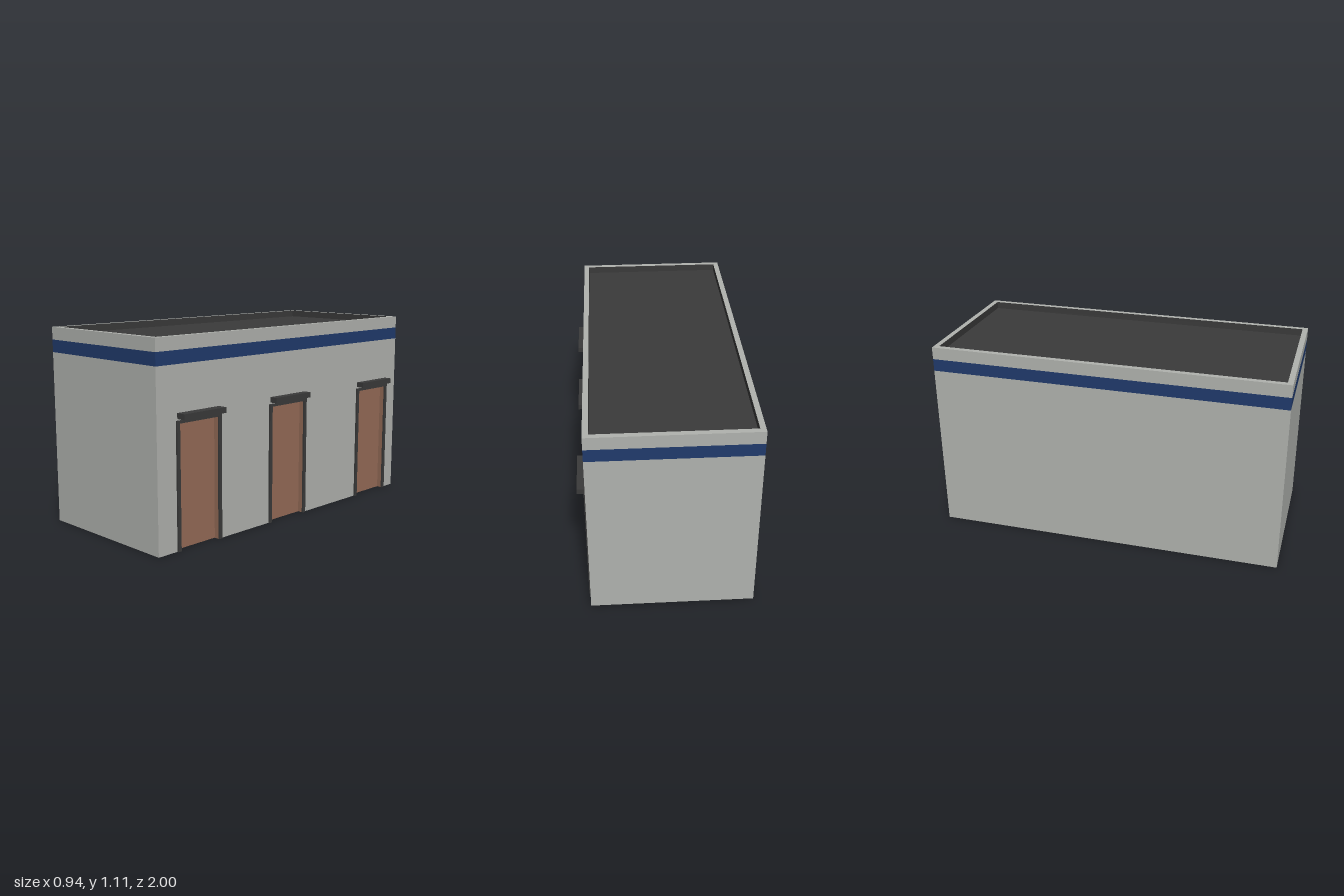
import * as THREE from 'three';

const mat = (name, color, side = THREE.DoubleSide) => {
  const m = new THREE.MeshStandardMaterial({ color, side });
  m.name = name;
  return m;
};

export function createModel() {
  const model = new THREE.Group();
  model.name = 'building';
  const wall = mat('wall grey', 0xb0b2ae);
  const blue = mat('band blue', 0x203a6c);
  const dark = mat('roof and trim dark', 0x3a3a3a);
  const brown = mat('door brown', 0x956b57);

  const L = -0.47, R = 0.416, F = 1, B = -1, H = 1.11;
  const bandLow = 0.97, bandHigh = 1.04, roofY = 1.07, rim = 0.03;
  const midX = (L + R) / 2, width = R - L;

  const add = (name, geometry, material, parent = model) => {
    const m = new THREE.Mesh(geometry, material);
    m.name = name;
    parent.add(m);
    return m;
  };
  const box = (name, material, x0, x1, y0, y1, z0, z1, parent) => {
    const m = add(name, new THREE.BoxGeometry(x1 - x0, y1 - y0, z1 - z0), material, parent);
    m.position.set((x0 + x1) / 2, (y0 + y1) / 2, (z0 + z1) / 2);
    return m;
  };
  // Flat upright sheet; turn is its rotation about y
  const sheet = (name, material, w, y0, y1, x, z, turn, parent) => {
    const m = add(name, new THREE.PlaneGeometry(w, y1 - y0), material, parent);
    m.position.set(x, (y0 + y1) / 2, z);
    m.rotation.y = turn;
    return m;
  };
  const Q = Math.PI / 2;

  // Front, back and left sheets in three courses, right side above the doors
  const courses = [['wall', wall, 0, bandLow], ['band', blue, bandLow, bandHigh], ['parapet', wall, bandHigh, H]];
  for (const [name, m, y0, y1] of courses) {
    sheet(name + 'Front', m, width, y0, y1, midX, F, 0);
    sheet(name + 'Back', m, width, y0, y1, midX, B, Math.PI);
    sheet(name + 'Left', m, F - B, y0, y1, L, 0, -Q);
    if (name !== 'wall') sheet(name + 'Right', m, F - B, y0, y1, R, 0, Q);
  }

  // Right wall with door openings cut from its lower edge
  const doors = [0.72, 0.037, -0.753];
  const half = 0.135, doorTop = 0.67, recess = 0.028;
  const outline = new THREE.Shape().moveTo(-F, 0);
  for (const z of doors) {
    outline.lineTo(-z - half, 0).lineTo(-z - half, doorTop);
    outline.lineTo(-z + half, doorTop).lineTo(-z + half, 0);
  }
  outline.lineTo(-B, 0).lineTo(-B, bandLow).lineTo(-F, bandLow);
  const right = add('wallRight', new THREE.ShapeGeometry(outline), wall);
  right.rotation.y = Q;
  right.position.x = R;

  // Parapet cap, inner lining and sunken roof
  const cap = new THREE.Shape([[L, B], [R, B], [R, F], [L, F]].map(p => new THREE.Vector2(...p)));
  cap.holes.push(new THREE.Path([[L + rim, B + rim], [L + rim, F - rim], [R - rim, F - rim], [R - rim, B + rim]]
    .map(p => new THREE.Vector2(...p))));
  const capMesh = add('parapetCap', new THREE.ShapeGeometry(cap), wall);
  capMesh.rotation.x = -Q;
  capMesh.position.y = H;
  const iw = width - 2 * rim, id = F - B - 2 * rim;
  sheet('liningFront', dark, iw, roofY, H, midX, F - rim, Math.PI);
  sheet('liningBack', dark, iw, roofY, H, midX, B + rim, 0);
  sheet('liningLeft', dark, id, roofY, H, L + rim, 0, Q);
  sheet('liningRight', dark, id, roofY, H, R - rim, 0, -Q);
  const roof = add('roof', new THREE.PlaneGeometry(iw, id), dark);
  roof.rotation.x = -Q;
  roof.position.set(midX, roofY, 0);

  // Recessed doors with frames and small canopies
  doors.forEach((z, i) => {
    const g = new THREE.Group();
    g.name = 'doorway' + (i + 1);
    model.add(g);
    sheet('door', brown, half * 2, 0, doorTop, R - recess, z, Q, g);
    for (const s of [-1, 1]) {
      sheet('reveal', brown, recess, 0, doorTop, R - recess / 2, z + s * half, s > 0 ? Math.PI : 0, g);
      const a = z + s * half, b = z + s * (half + 0.02);
      box('framePost', dark, R, R + 0.01, 0, doorTop, Math.min(a, b), Math.max(a, b), g);
    }
    const head = add('revealTop', new THREE.PlaneGeometry(recess, half * 2), brown, g);
    head.rotation.x = Q;
    head.position.set(R - recess / 2, doorTop, z);
    box('frameHead', dark, R, R + 0.01, doorTop, 0.685, z - half - 0.02, z + half + 0.02, g);
    box('canopy', dark, R, i === 0 ? 0.47 : 0.461, 0.694, 0.724, z - 0.145, z + 0.145, g);
  });
  return model;
}
